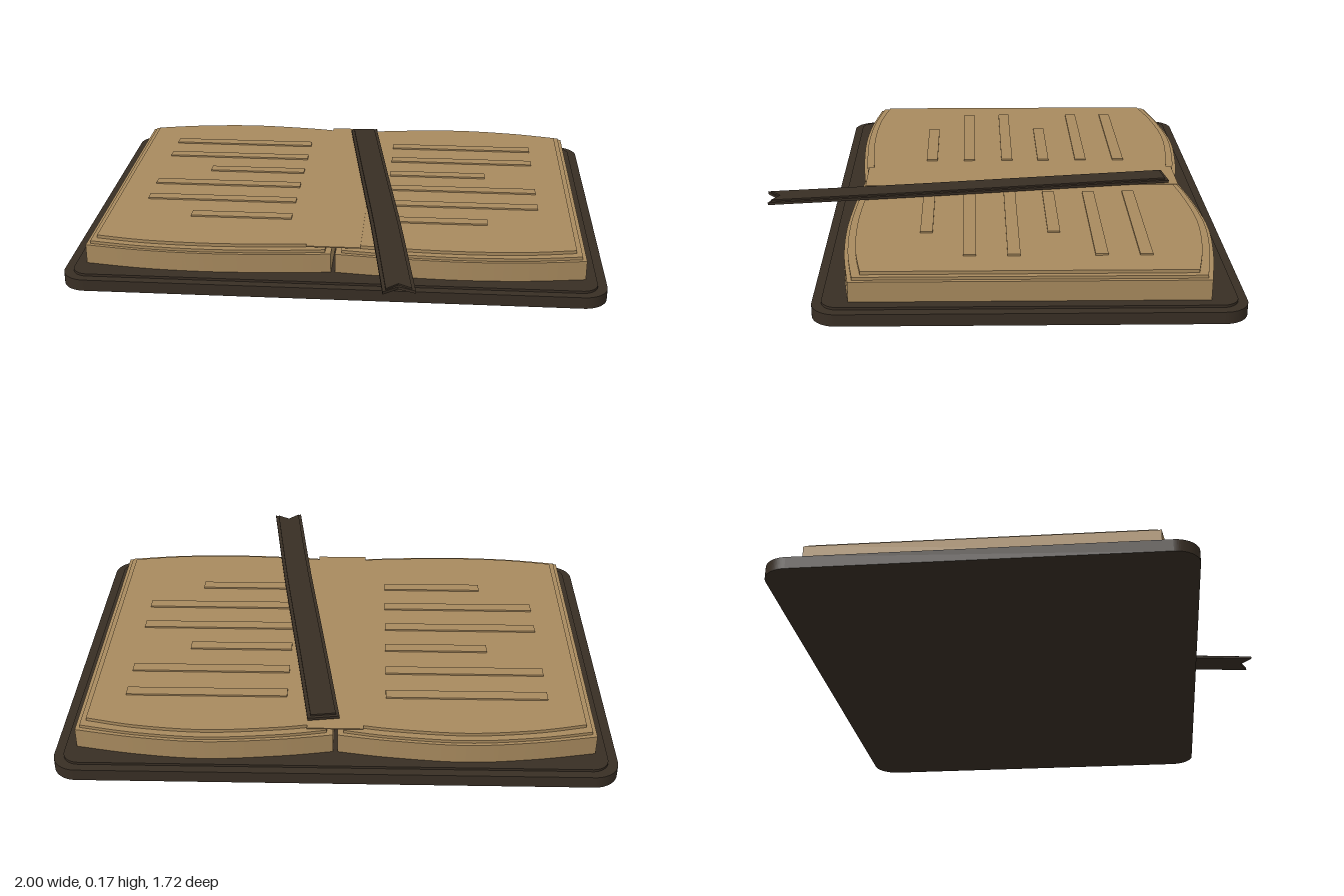
import * as THREE from 'three';

const paper = new THREE.MeshStandardMaterial({ color: 0xa88a5e });
paper.name = 'paper';
const leather = new THREE.MeshStandardMaterial({ color: 0x382e24 });
leather.name = 'dark leather';

// Extrudes a plan outline (x, z) upward from y0 to y1.
function slab(name, shape, y0, y1, material) {
  const geometry = new THREE.ExtrudeGeometry(shape, { depth: y1 - y0, bevelEnabled: false, curveSegments: 12 });
  geometry.rotateX(-Math.PI / 2);
  geometry.translate(0, y0, 0);
  const mesh = new THREE.Mesh(geometry, material);
  mesh.name = name;
  return mesh;
}

// Rounded rectangle in plan, drawn with y = -z.
function roundedPlan(x, back, front, r) {
  const s = new THREE.Shape(), top = -back, low = -front;
  s.absarc(x - r, top - r, r, 0, Math.PI / 2);
  s.absarc(-x + r, top - r, r, Math.PI / 2, Math.PI);
  s.absarc(-x + r, low + r, r, Math.PI, Math.PI * 1.5);
  s.absarc(x - r, low + r, r, Math.PI * 1.5, Math.PI * 2);
  s.closePath();
  return s;
}

// One half of the page block, with bowed front and back edges.
function pagePlan(side, inner, outer, inset) {
  const at = (x, z) => new THREE.Vector2(side * x, -z);
  const back = [at(inner, -0.75 + inset), at(0.2, -0.78 + inset), at(0.46, -0.8 + inset),
    at(0.7, -0.78 + inset), at(outer, -0.74 + inset)];
  const front = [at(outer, 0.49 - inset), at(0.7, 0.52 - inset), at(0.46, 0.53 - inset),
    at(0.2, 0.518 - inset), at(inner, 0.5 - inset)];
  const s = new THREE.Shape();
  s.moveTo(back[0].x, back[0].y);
  s.splineThru(back.slice(1));
  s.lineTo(front[0].x, front[0].y);
  s.splineThru(front.slice(1));
  s.closePath();
  return s;
}

// Ribbon outline with a swallowtail end.
function ribbonPlan(inset) {
  const curve = new THREE.CatmullRomCurve3([[0.042, -0.7], [0.098, -0.3], [0.141, 0], [0.184, 0.3], [0.255, 0.85]]
    .map(([x, z]) => new THREE.Vector3(x, 0, z)));
  const left = [], right = [], n = 16, half = 0.057 - inset;
  for (let i = 0; i <= n; i++) {
    const t = curve.getPoint(i / n), d = curve.getTangent(i / n);
    if (i === 0) t.addScaledVector(d, inset);
    if (i === n) t.addScaledVector(d, -inset);
    left.push(new THREE.Vector2(t.x - d.z * half, -(t.z + d.x * half)));
    right.push(new THREE.Vector2(t.x + d.z * half, -(t.z - d.x * half)));
  }
  const notch = new THREE.Vector2(0.25, -0.815 + inset);
  return new THREE.Shape([...left, notch, ...right.reverse()]);
}

export function createModel() {
  const book = new THREE.Group();
  book.name = 'openBook';

  // Cover board with a slightly raised inner panel
  book.add(slab('cover', roundedPlan(1, -0.865, 0.615, 0.09), 0, 0.044, leather));
  book.add(slab('coverLining', roundedPlan(0.965, -0.832, 0.582, 0.06), 0.044, 0.053, leather));

  // Pages: block, stepped edge and top sheet on each side
  const rows = [[-0.535, 0.77], [-0.38, 0.77], [-0.225, 0.57], [-0.075, 0.77], [0.08, 0.77], [0.235, 0.57]];
  for (const side of [-1, 1]) {
    const half = new THREE.Group();
    half.name = side < 0 ? 'rightPages' : 'leftPages';
    half.add(slab('pageBlock', pagePlan(side, 0.008, 0.925, 0), 0.053, 0.127, paper));
    half.add(slab('pageEdge', pagePlan(side, 0.03, 0.91, 0.013), 0.127, 0.138, paper));
    half.add(slab('topPage', pagePlan(side, 0.035, 0.89, 0.04), 0.138, 0.15, paper));

    // Raised writing lines
    for (const [z, end] of rows) {
      const line = new THREE.Mesh(new THREE.BoxGeometry(end - 0.18, 0.008, 0.045), paper);
      line.name = 'writingLine';
      line.position.set(side * (end + 0.18) / 2, 0.152, z);
      half.add(line);
    }
    book.add(half);
  }

  // Thin strip bridging the gutter
  const gutter = new THREE.Mesh(new THREE.BoxGeometry(0.2, 0.004, 1.235), paper);
  gutter.name = 'gutterStrip';
  gutter.position.set(0, 0.15, -0.1275);
  book.add(gutter);

  // Ribbon bookmark with a stepped edge
  const ribbon = new THREE.Group();
  ribbon.name = 'ribbon';
  ribbon.add(slab('ribbonBase', ribbonPlan(0), 0.157, 0.167, leather));
  ribbon.add(slab('ribbonTop', ribbonPlan(0.012), 0.167, 0.173, leather));
  book.add(ribbon);

  return book;
}
